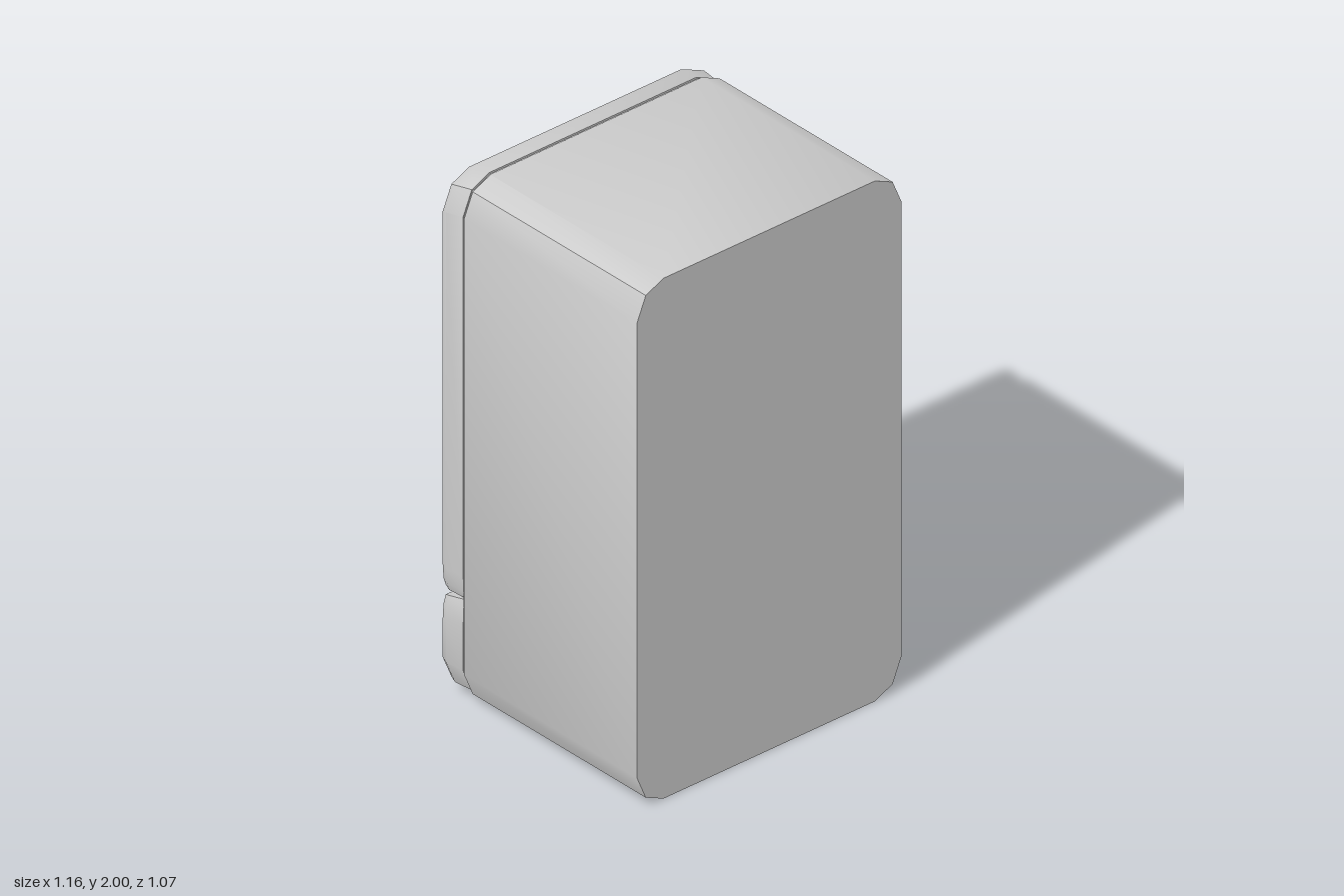
import * as THREE from 'three';
import { toCreasedNormals } from 'three/addons/utils/BufferGeometryUtils.js';

// corner profiles: [inset in x, inset in y], from the side edge to the horizontal edge
const ROUND = [[0, 0.125], [0.038, 0.035], [0.115, 0]];
const SMALL = [[0, 0.09], [0.004, 0.03], [0.014, 0]];

// counter-clockwise outline seen from +z
function outline(halfWidth, y0, y1, bottom, top) {
  const right = [
    ...[...bottom].reverse().map(([x, y]) => [halfWidth - x, y0 + y]),
    ...top.map(([x, y]) => [halfWidth - x, y1 - y]),
  ];
  const left = [...right].reverse().map(([x, y]) => [-x, y]);
  return [...right, ...left];
}

// closed solid through rings [z, halfWidth, y0, y1] ordered from -z to +z
function loft(name, rings, bottom, top, material) {
  const pos = [];
  const index = [];
  const n = 2 * (bottom.length + top.length);
  for (const [z, w, y0, y1] of rings) {
    for (const [x, y] of outline(w, y0, y1, bottom, top)) pos.push(x, y, z);
  }
  for (let i = 0; i < rings.length - 1; i++) {
    for (let j = 0; j < n; j++) {
      const a = i * n + j;
      const b = i * n + (j + 1) % n;
      index.push(a, b, b + n, a, b + n, a + n);
    }
  }
  const last = (rings.length - 1) * n;
  for (let j = 1; j < n - 1; j++) {
    index.push(0, j + 1, j, last, last + j, last + j + 1);
  }
  const geo = new THREE.BufferGeometry();
  geo.setAttribute('position', new THREE.Float32BufferAttribute(pos, 3));
  geo.setIndex(index);
  const mesh = new THREE.Mesh(toCreasedNormals(geo, 0.6), material);
  mesh.name = name;
  return mesh;
}

export function createModel() {
  const group = new THREE.Group();
  group.name = 'refrigerator';
  const grey = new THREE.MeshStandardMaterial({ color: 0xcccccc });

  // cabinet with a narrowed neck behind the doors
  group.add(loft('cabinet', [
    [-0.338, 0.564, 0.01, 1.99],
    [-0.322, 0.575, 0, 2],
    [0.537, 0.575, 0, 2],
  ], ROUND, ROUND, grey));

  // tall upper door
  group.add(loft('upperDoor', [
    [-0.428, 0.575, 0.416, 1.981],
    [-0.405, 0.58, 0.408, 1.99],
    [-0.338, 0.565, 0.4, 1.997],
  ], SMALL, ROUND, grey));

  // low bottom door
  group.add(loft('lowerDoor', [
    [-0.428, 0.575, 0.019, 0.379],
    [-0.405, 0.58, 0.01, 0.387],
    [-0.338, 0.565, 0.003, 0.395],
  ], ROUND, SMALL, grey));

  // flattened half-ring handle
  const arch = new THREE.TorusGeometry(0.191, 0.027, 8, 14, Math.PI);
  arch.rotateX(-Math.PI / 2);
  arch.scale(1, 0.93, 0.5);
  const handle = new THREE.Mesh(arch, grey);
  handle.name = 'doorHandle';
  handle.position.set(-0.318, 1.245, -0.428);
  group.add(handle);

  return group;
}
